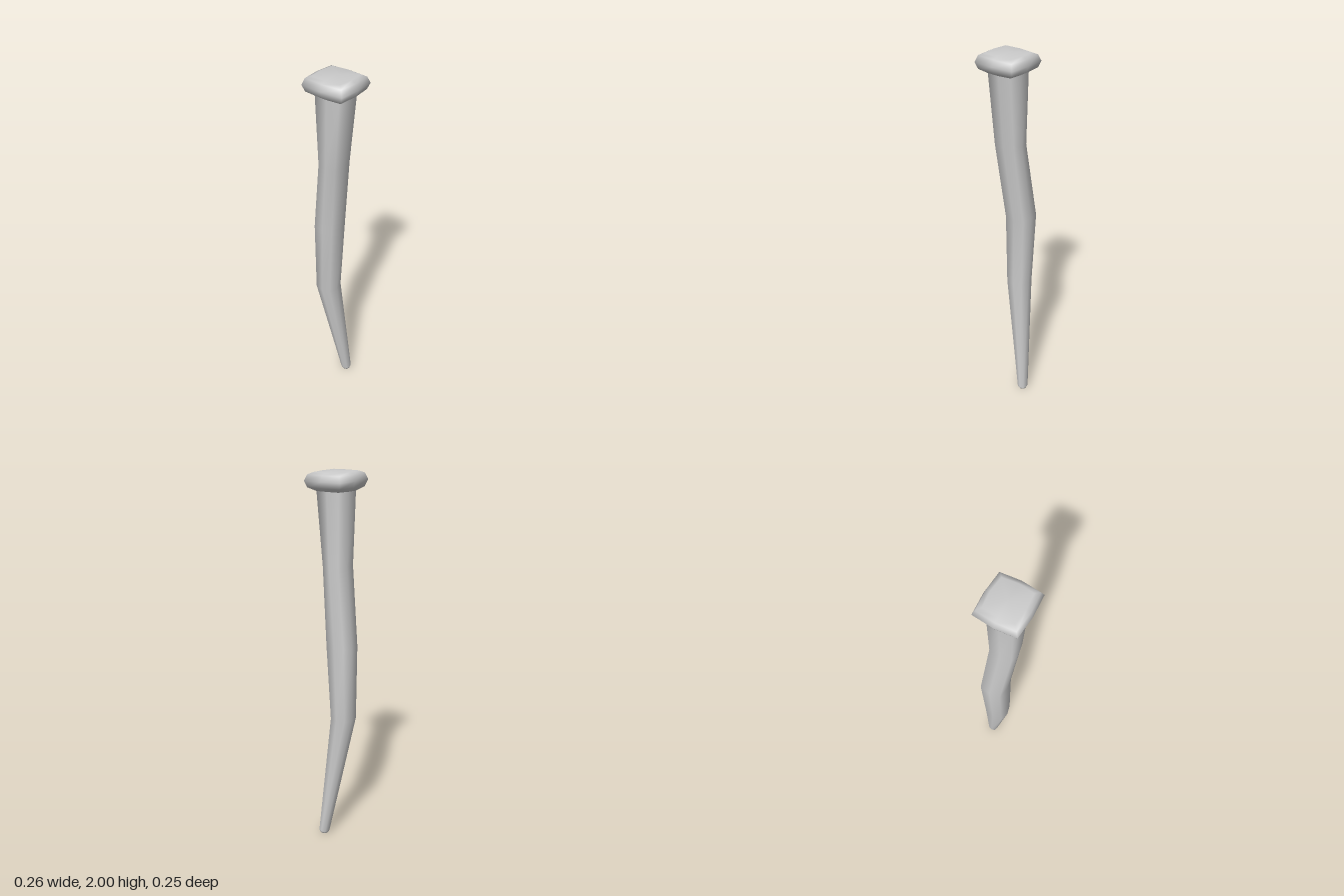
import * as THREE from 'three';

const SIDES = 8;

// Skins eight-sided rings, listed from bottom to top.
// ring: centre x, y, z, half width, half depth, corner squareness, tilt along z
function loft(name, rings, bottomPoint, topPoint) {
  const pos = [], index = [];
  for (const [cx, y, cz, hx, hz, corner, tilt = 0] of rings) {
    for (let i = 0; i < SIDES; i++) {
      const a = (i / SIDES) * Math.PI * 2;
      const k = i % 2 ? corner * Math.SQRT2 : 1;
      const dz = Math.sin(a) * hz * k;
      pos.push(cx + Math.cos(a) * hx * k, y + dz * tilt, cz + dz);
    }
  }
  for (let r = 0; r < rings.length - 1; r++) {
    for (let i = 0; i < SIDES; i++) {
      const a = r * SIDES + i, b = r * SIDES + (i + 1) % SIDES;
      index.push(a, a + SIDES, b, b, a + SIDES, b + SIDES);
    }
  }
  const cap = (point, start, up) => {
    const c = pos.length / 3;
    pos.push(...point);
    for (let i = 0; i < SIDES; i++) {
      const a = start + i, b = start + (i + 1) % SIDES;
      if (up) index.push(c, b, a);
      else index.push(c, a, b);
    }
  };
  if (bottomPoint) cap(bottomPoint, 0, false);
  if (topPoint) cap(topPoint, (rings.length - 1) * SIDES, true);

  const geometry = new THREE.BufferGeometry();
  geometry.setAttribute('position', new THREE.Float32BufferAttribute(pos, 3));
  geometry.setIndex(index);
  geometry.computeVertexNormals();
  const material = new THREE.MeshStandardMaterial({ color: 0xcccccc, side: THREE.DoubleSide });
  const mesh = new THREE.Mesh(geometry, material);
  mesh.name = name;
  return mesh;
}

export function createModel() {
  const group = new THREE.Group();
  group.name = 'bentNail';

  // Bent, tapering shaft with a blunt tip
  group.add(loft('shaft', [
    [0.003, 0.003, -0.099, 0.022, 0.022, 0.75],
    [0.003, 0.015, -0.1, 0.028, 0.027, 0.75],
    [-0.066, 0.69, -0.018, 0.059, 0.062, 0.8],
    [-0.063, 1.1, -0.028, 0.067, 0.067, 0.86],
    [-0.01, 1.52, 0.002, 0.061, 0.072, 0.84],
    [0.004, 1.9, 0.005, 0.079, 0.076, 0.91],
  ], [0.003, 0, -0.099], null));

  // Square, rounded head, slightly tilted towards the back
  group.add(loft('head', [
    [0.004, 1.897, 0.005, 0.079, 0.076, 0.91],
    [0.005, 1.917, 0.005, 0.113, 0.11, 0.92, 0.02],
    [0.005, 1.95, 0.005, 0.125, 0.12, 0.93, 0.03],
    [0.005, 1.982, 0.005, 0.113, 0.109, 0.92, 0.04],
    [0.005, 1.993, 0.005, 0.09, 0.088, 0.9, 0.04],
  ], null, [0.005, 1.998, 0.005]));

  return group;
}
